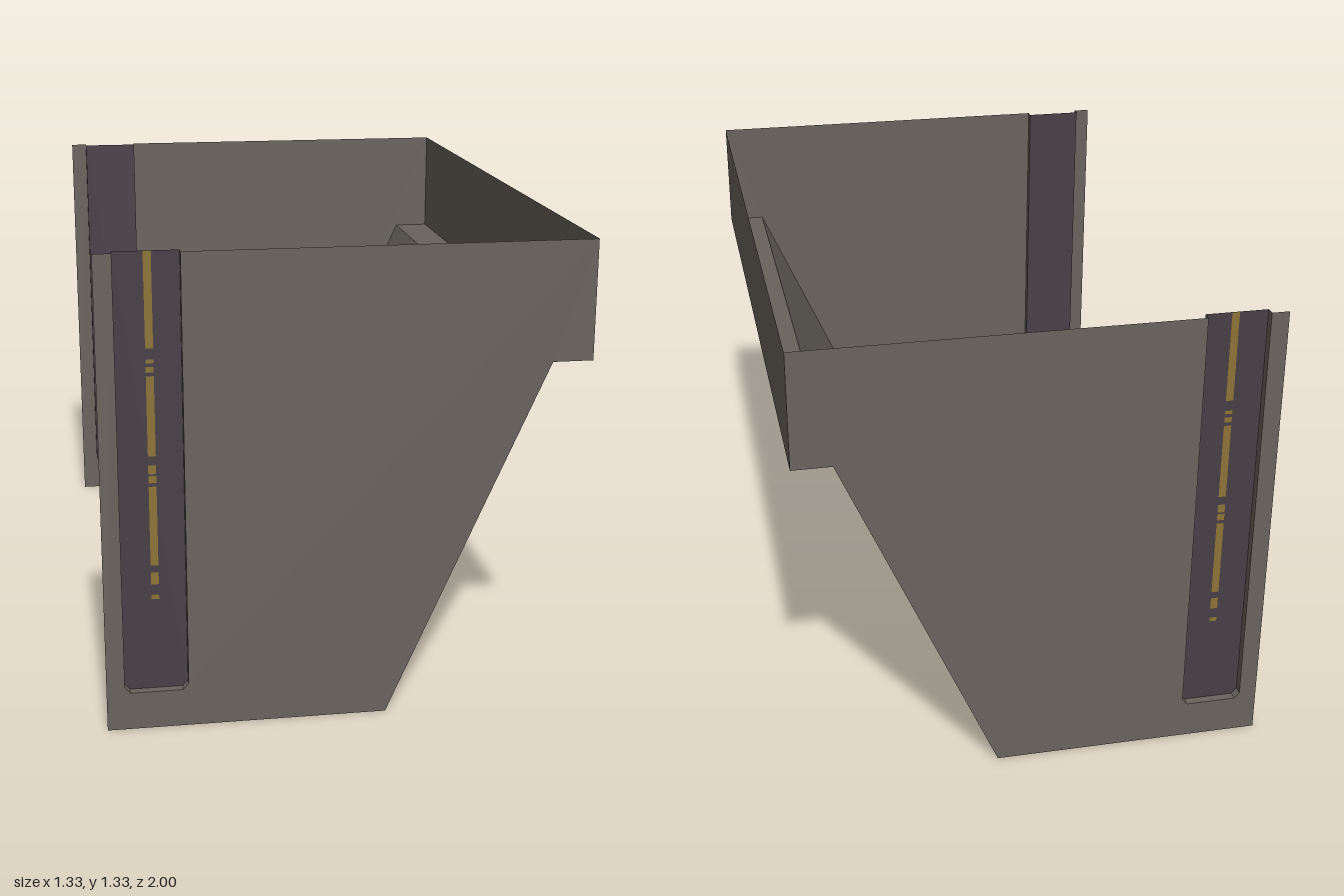
import * as THREE from 'three';

const TOP = 1.333, HALF = 1, DEPTH = 0.025;

// Sheet swept along z from z0 to z1 over a polyline in the xy plane
function sweptSheet(points, z0, z1) {
  const pos = [];
  for (let i = 0; i < points.length - 1; i++) {
    const [ax, ay] = points[i], [bx, by] = points[i + 1];
    pos.push(ax, ay, z0, bx, by, z0, bx, by, z1);
    pos.push(ax, ay, z0, bx, by, z1, ax, ay, z1);
  }
  const g = new THREE.BufferGeometry();
  g.setAttribute('position', new THREE.Float32BufferAttribute(pos, 3));
  g.computeVertexNormals();
  return g;
}

const outline = (pts) => new THREE.Shape(pts.map(([x, y]) => new THREE.Vector2(x, y)));

export function createModel() {
  const metal = new THREE.MeshStandardMaterial({ color: 0x69635d, side: THREE.DoubleSide });
  metal.name = 'greyMetal';
  const dark = new THREE.MeshStandardMaterial({ color: 0x483f47, side: THREE.DoubleSide });
  dark.name = 'darkInset';
  const yellow = new THREE.MeshStandardMaterial({ color: 0x8c7337 });
  yellow.name = 'yellowMark';

  const model = new THREE.Group();
  model.name = 'openTrough';
  const add = (parent, name, geometry, material) => {
    const mesh = new THREE.Mesh(geometry, material);
    mesh.name = name;
    parent.add(mesh);
    return mesh;
  };

  // Floor, sloping wall, ledge and upright rim
  const body = [[-0.44, 0], [0.11, 0], [0.555, 1], [0.667, 1], [0.667, TOP]];
  add(model, 'troughBody', sweptSheet(body, HALF, -HALF), metal);

  // Channel outline, open at the top, with clipped lower corners
  const channel = [[-0.617, TOP], [-0.617, 0.125], [-0.602, 0.108],
    [-0.457, 0.108], [-0.442, 0.125], [-0.442, TOP]];

  // Lengths of the yellow line, as [bottom, top]
  const marks = [[0.372, 0.385], [0.415, 0.45], [0.47, 0.695], [0.705, 0.725],
    [0.73, 0.755], [0.78, 1.0], [1.01, 1.025], [1.035, 1.045], [1.075, TOP]];

  for (const side of [1, -1]) {
    const end = new THREE.Group();
    end.name = side > 0 ? 'frontEnd' : 'backEnd';
    end.scale.z = side;
    model.add(end);

    // End panel with the channel cut out of it
    const panel = outline([[-0.667, 0], ...body.slice(1), ...[...channel].reverse(), [-0.667, TOP]]);
    add(end, 'endPanel', new THREE.ShapeGeometry(panel).translate(0, 0, HALF), metal);

    // Recessed channel
    add(end, 'channelWalls', sweptSheet(channel, HALF, HALF - DEPTH), metal);
    add(end, 'channelBack',
      new THREE.ShapeGeometry(outline(channel)).translate(0, 0, HALF - DEPTH), dark);

    // Broken yellow line along the channel
    for (const [low, high] of marks) {
      const mark = add(end, 'yellowLine', new THREE.PlaneGeometry(0.021, high - low), yellow);
      mark.position.set(-0.526, (low + high) / 2, HALF - DEPTH + 0.002);
    }
  }
  return model;
}
